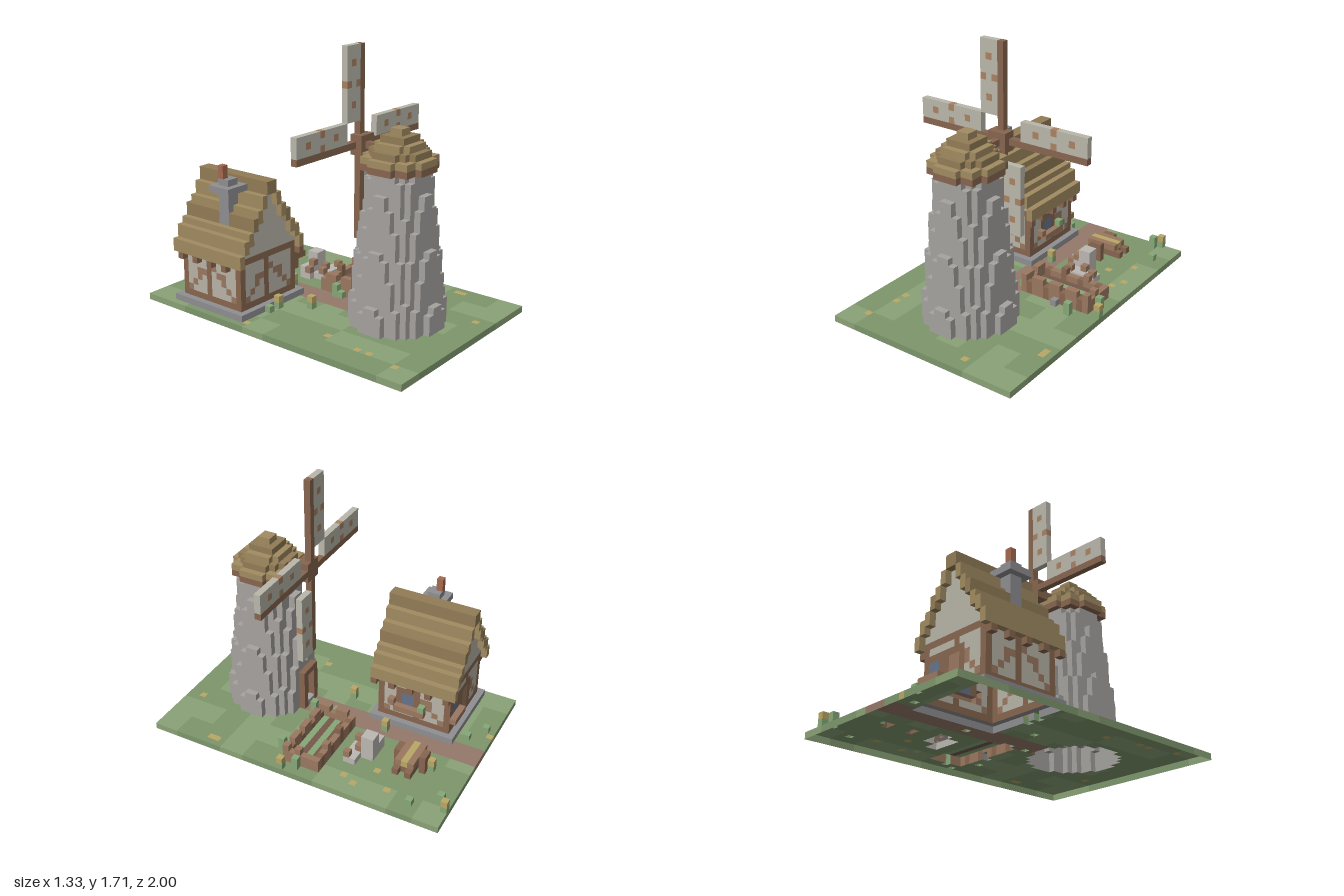
import * as THREE from 'three';

const U = 1 / 24; // edge of one block
const PALETTE = {
  grass: 0x7d966c, meadow: 0x8aa277, path: 0x95796a, flower: 0xb9a766, stone: 0xa5a29f, slab: 0x8f8f92,
  timber: 0x87664f, wood: 0x9a7860, plaster: 0xb8b4a8, straw: 0xa18b61, ridge: 0x927c56, brick: 0xa5694f,
  glass: 0x64748a, leaf: 0x86a878, cloth: 0xbab7ab, patch: 0xa98263, soil: 0x76584a, wool: 0xbcb7b2
};

// All blocks share one grid, so that hidden faces can be dropped.
const blocks = new Map();
const key = (x, y, z) => `${x},${y},${z}`;
const put = (part, color, x, y, z) => blocks.set(key(x, y, z), { part, color, x, y, z });

// Fills [x0,x1) [y0,y1) [z0,z1); color may be a rule of x, y, z.
function box(part, color, x0, x1, y0, y1, z0, z1) {
  for (let x = x0; x < x1; x++) for (let y = y0; y < y1; y++) for (let z = z0; z < z1; z++) {
    const c = typeof color === 'function' ? color(x, y, z) : color;
    if (c) put(part, c, x, y, z);
  }
}

// Round layer of blocks about the tower axis
function disc(part, color, r, y) {
  box(part, (x, _, z) => Math.hypot(x + 0.5, z + 0.5 - 12) <= r && color, -8, 8, y, y + 1, 4, 20);
}

function buildGround() {
  const hash = (a, b) => Math.abs(Math.sin(a * 12.99 + b * 78.23) * 43758.5) % 1;
  box('ground', (x, y, z) => {
    if (x >= -2 && x < 2 && z < 6) return 'path';
    return hash(Math.floor(x / 4), Math.floor(z / 4)) > 0.6 ? 'meadow' : 'grass';
  }, -16, 16, 0, 1, -24, 24);
  for (const [x, z] of [[-15, -5], [-11, 7], [-12, 13], [-12, 15], [-13, 20], [6, 21], [14, 13], [14, 14],
    [9, -12], [13, -10], [12, -15], [12, -8], [-6, -24]]) put('ground', 'flower', x, 0, z);
}

function buildTower() {
  for (let y = 1; y < 24; y++) disc('tower', 'stone', 6.52 + (4.5 - y) / 8, y);
  // door and window facing the sails
  box('towerDoor', (x, y) => (x === -2 || x === 1 || y === 7 ? 'timber' : null), -2, 2, 1, 8, 5, 6);
  box('towerDoor', 'wood', -1, 1, 1, 7, 6, 7);
  for (let y = 1; y < 7; y++) for (const x of [-1, 0]) blocks.delete(key(x, y, 5));
  box('towerDoor', 'stone', -1, 1, 1, 2, 5, 6);
  box('towerWindow', 'stone', -2, 2, 10, 14, 6, 7);
  box('towerWindow', 'glass', -1, 1, 11, 13, 6, 7);
  box('towerWindow', 'stone', -1, 1, 10, 11, 5, 6);
  // stepped cap
  disc('capRim', 'timber', 5.1, 24);
  [5.1, 4.3, 3.3, 2.3, 1.3].forEach((r, i) => disc('cap', i % 2 ? 'ridge' : 'straw', r, 25 + i));
}

function buildSails() {
  const spots = (a, b) => (x, y) => {
    const [i, j] = a(x, y, b);
    return (j === 1 && (i === 2 || i === 8)) || (j !== 1 && i === 5) ? 'patch' : 'cloth';
  };
  const up = spots((x, y) => [40 - y, x + 3]);
  const down = spots((x, y) => [y - 12, x - 1]);
  const left = spots((x, y) => [14 - x, y - 27]);
  const right = spots((x, y) => [x + 14, y - 27]);
  box('sail', up, -3, 0, 30, 41, 4, 5);
  box('sail', down, 1, 4, 12, 23, 4, 5);
  box('sail', left, 4, 15, 27, 30, 4, 5);
  box('sail', right, -14, -3, 27, 30, 4, 5);
  box('spar', 'timber', 0, 1, 12, 41, 4, 5);
  box('spar', 'timber', -14, 15, 26, 27, 4, 5);
  box('hub', 'timber', -1, 2, 25, 28, 4, 6);
  box('axle', 'timber', 0, 1, 26, 27, 6, 8);
}

function buildHouse() {
  const roofTop = d => Math.floor(21 - 1.6 * d + 0.001);
  const fromRidge = x => (x >= -8 ? x + 8 : -9 - x);
  // half-timbered pattern along a wall
  const frame = (u, y) => {
    if (y === 2 || y === 9 || u === 0 || u === 11 || u === 5) return 'timber';
    const v = u < 5 ? u - 1 : 10 - u;
    return y === v + 3 || (y === v + 4 && v === 2) ? 'wood' : 'plaster';
  };
  box('foundation', 'slab', -15, -1, 1, 2, -19, -5);
  box('walls', (x, y, z) => (z === -18 || z === -7 ? frame(x + 14, y) : frame(z + 18, y)), -14, -2, 2, 10, -18, -6);
  box('gable', (x, y) => y < roofTop(fromRidge(x)) - 2 && 'plaster', -14, -2, 10, 20, -18, -6);
  for (let x = -15; x < -1; x++) {
    const d = fromRidge(x), t = roofTop(d);
    box('roof', d === 0 || d === 3 ? 'ridge' : 'straw', x, x + 1, t - 2, t, -19, -5);
  }
  // rafter ends under the eaves
  for (let z = -18; z < -5; z += 3) for (const x of [-15, -2]) put('rafter', 'timber', x, 8, z);
  // side window with flower box
  box('sideWindow', 'timber', -3, -2, 4, 8, -13, -9);
  box('sideWindow', 'glass', -3, -2, 5, 7, -12, -10);
  box('planter', 'wood', -2, -1, 4, 5, -14, -9);
  put('planterFlower', 'leaf', -2, 5, -14);
  put('planterFlower', 'wood', -2, 5, -9);
  // gable door and window
  box('doorFrame', 'timber', -10, -6, 2, 8, -18, -17);
  box('door', 'wood', -9, -7, 2, 7, -18, -17);
  box('gableWindow', 'timber', -6, -2, 4, 8, -18, -17);
  box('gableWindow', 'glass', -5, -3, 5, 7, -18, -17);
  box('planter', 'wood', -6, -2, 4, 5, -19, -18);
  // chimney
  box('chimney', 'slab', -12, -10, 13, 21, -12, -10);
  box('chimneyCap', 'slab', -13, -9, 19, 20, -13, -9);
  box('chimneyPot', 'brick', -12, -11, 21, 23, -12, -11);
}

function buildYard() {
  // fenced vegetable bed
  box('soil', 'soil', 3, 13, 1, 2, -3, 1);
  for (const z of [-2, 0]) box('crops', 'leaf', 3, 13, 1, 2, z, z + 1);
  box('fence', (x, y, z) => {
    const edge = x === 2 || x === 13 || z === -4 || z === 1;
    return edge && (y < 3 || (x + z + 20) % 3 !== 0) && (y < 3 || z > -2 || x % 4 === 2) && (x % 3 ? 'wood' : 'timber');
  }, 2, 14, 1, 4, -4, 2);
  // hay cart
  box('cart', 'timber', 4, 9, 2, 3, -17, -14);
  for (const z of [-17, -15]) {
    box('cartSide', 'wood', 4, 9, 3, 4, z, z + 1);
    box('shaft', 'timber', 8, 10, 2, 3, z, z + 1);
  }
  box('hay', 'flower', 4, 9, 3, 4, -16, -15);
  for (const z of [-18, -14]) box('wheel', 'timber', 5, 7, 1, 4, z, z + 1);
  // heap of pale blocks with brown crates
  box('heap', 'wool', 4, 8, 1, 3, -10, -8);
  box('heap', 'wool', 5, 10, 1, 2, -8, -6);
  box('heap', 'wool', 6, 8, 1, 5, -10, -8);
  for (const [x, y, z] of [[5, 3, -9], [7, 2, -8], [9, 2, -7], [4, 2, -9], [5, 2, -7]]) put('crate', 'wood', x, y, z);
  // shrubs and flowers: x, z, height, colour of the top
  const plants = [[-7, -23, 1, 'leaf'], [-4, -21, 1, 'leaf'], [11, -23, 2, 'leaf'], [13, -19, 1, 'leaf'],
    [12, -24, 2, 'flower'], [5, -19, 2, 'flower'], [0, -9, 2, 'flower'], [-10, -5, 1, 'leaf'], [-8, -5, 2, 'flower'],
    [-5, -1, 2, 'flower'], [14, -1, 2, 'leaf'], [15, 1, 2, 'flower'], [8, 2, 1, 'slab'], [1, 0, 1, 'leaf'],
    [1, -1, 2, 'leaf'], [11, 3, 2, 'leaf'], [1, 3, 2, 'leaf']];
  for (const [x, z, h, top] of plants) {
    box('plant', 'leaf', x, x + 1, 1, h, z, z + 1);
    put('plant', top, x, h, z);
  }
}

// Exposed faces of a set of blocks; the underside of the base stays open.
function skin(list) {
  const pos = [], nor = [], idx = [];
  for (const b of list) for (let axis = 0; axis < 3; axis++) for (const s of [1, -1]) {
    const n = [0, 0, 0];
    n[axis] = s;
    if (blocks.has(key(b.x + n[0], b.y + n[1], b.z + n[2])) || (b.y === 0 && n[1] < 0)) continue;
    const start = pos.length / 3;
    for (const [p, q] of [[0, 0], [1, 0], [1, 1], [0, 1]]) {
      const c = [b.x, b.y, b.z];
      c[axis] += s > 0 ? 1 : 0;
      c[(axis + 1) % 3] += p;
      c[(axis + 2) % 3] += q;
      pos.push(c[0] * U, c[1] * U, c[2] * U);
      nor.push(...n);
    }
    idx.push(...(s > 0 ? [0, 1, 2, 0, 2, 3] : [0, 2, 1, 0, 3, 2]).map(i => start + i));
  }
  const g = new THREE.BufferGeometry();
  g.setAttribute('position', new THREE.Float32BufferAttribute(pos, 3));
  g.setAttribute('normal', new THREE.Float32BufferAttribute(nor, 3));
  g.setIndex(idx);
  return g;
}

export function createModel() {
  blocks.clear();
  [buildGround, buildTower, buildSails, buildHouse, buildYard].forEach(build => build());
  const model = new THREE.Group(), parts = {}, materials = {};
  model.name = 'windmillFarm';
  for (const b of blocks.values()) ((parts[b.part] ??= {})[b.color] ??= []).push(b);
  for (const [name, colors] of Object.entries(parts)) {
    const group = new THREE.Group();
    group.name = name;
    for (const [color, list] of Object.entries(colors)) {
      materials[color] ??= new THREE.MeshStandardMaterial({ color: PALETTE[color], side: THREE.DoubleSide });
      const mesh = new THREE.Mesh(skin(list), materials[color]);
      mesh.name = `${name} ${color}`;
      group.add(mesh);
    }
    model.add(group);
  }
  return model;
}
